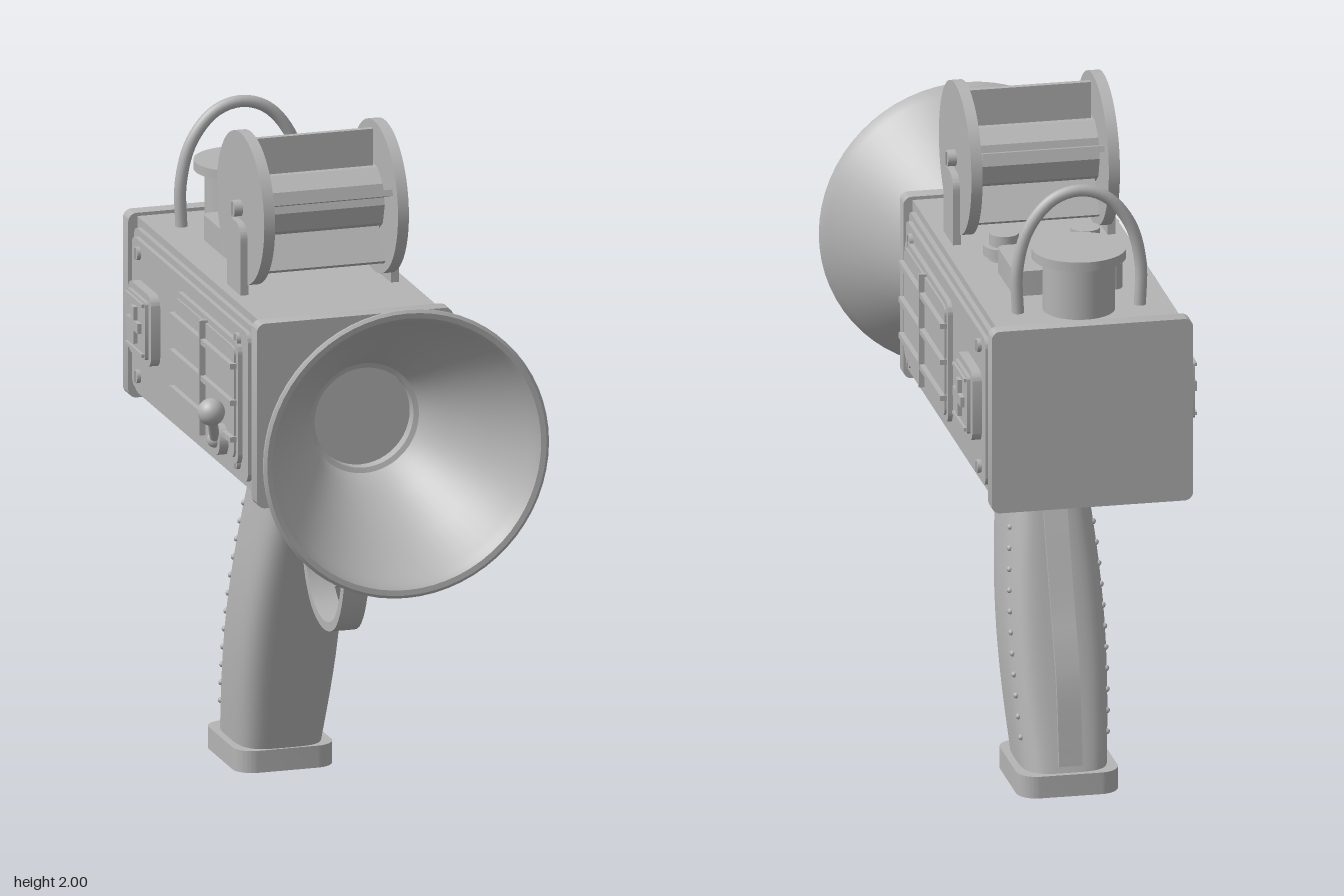
import * as THREE from 'three';
import { toCreasedNormals } from 'three/addons/utils/BufferGeometryUtils.js';

const grey = new THREE.MeshStandardMaterial({ color: 0xb4b4b4 });
grey.name = 'plain grey';

export function createModel() {
  const model = new THREE.Group();
  model.name = 'hornGadget';

  const add = (name, geo, x = 0, y = 0, z = 0) => {
    const m = new THREE.Mesh(geo, grey);
    m.name = name;
    m.position.set(x, y, z);
    model.add(m);
    return m;
  };
  const box = (w, h, d) => new THREE.BoxGeometry(w, h, d);
  const cyl = (r, h, n = 32) => new THREE.CylinderGeometry(r, r, h, n);
  const cylX = (r, h, n = 24) => cyl(r, h, n).rotateZ(Math.PI / 2);
  const extrude = (shape, depth) => toCreasedNormals(
    new THREE.ExtrudeGeometry(shape, { depth, bevelEnabled: false, curveSegments: 8 }).translate(0, 0, -depth / 2), 0.6);

  // Rounded rectangle plate, thickness along z
  const plate = (w, h, depth, r) => {
    const s = new THREE.Shape(), a = w / 2, b = h / 2, q = Math.PI / 2;
    s.absarc(a - r, b - r, r, 0, q);
    s.absarc(r - a, b - r, r, q, 2 * q);
    s.absarc(r - a, r - b, r, 2 * q, 3 * q);
    s.absarc(a - r, r - b, r, 3 * q, 4 * q);
    return extrude(s, depth);
  };
  const sidePlate = (w, h, t, r) => plate(w, h, t, r).rotateY(Math.PI / 2);
  const flatPlate = (w, d, t, r) => plate(w, d, t, r).rotateX(-Math.PI / 2);

  // Flat strap following [z, y] points, width along x
  const strap = (pts, thick, width) => {
    const c = new THREE.SplineCurve(pts.map(p => new THREE.Vector2(...p)));
    const a = [], b = [];
    for (let i = 0; i <= 40; i++) {
      const p = c.getPoint(i / 40), t = c.getTangent(i / 40);
      const n = new THREE.Vector2(-t.y, t.x).multiplyScalar(thick / 2);
      a.push(p.clone().add(n));
      b.unshift(p.clone().sub(n));
    }
    return extrude(new THREE.Shape([...a, ...b]), width).rotateY(-Math.PI / 2);
  };

  // Housing and end plates
  add('housing', box(0.54, 0.53, 1.2), 0, 1.265, -0.245);
  add('frontPlate', plate(0.595, 0.555, 0.05, 0.025), 0, 1.2625, 0.365);
  add('rearPlate', plate(0.595, 0.555, 0.05, 0.025), 0, 1.2625, -0.855);

  // Side panels, grilles, screws and cross buttons
  for (const s of [1, -1]) {
    add('sidePanel', sidePlate(1.14, 0.49, 0.02, 0.03), s * 0.275, 1.262, -0.245);
    add('sidePanelInset', sidePlate(1.1, 0.45, 0.02, 0.03), s * 0.288, 1.262, -0.245);
    add('grilleFrame', sidePlate(0.6, 0.37, 0.02, 0.035), s * 0.302, 1.262, -0.045);
    add('grilleFace', sidePlate(0.56, 0.335, 0.02, 0.025), s * 0.308, 1.262, -0.045);
    for (const y of [1.155, 1.265, 1.375]) add('grilleBar', box(0.03, 0.016, 0.575), s * 0.318, y, -0.045);
    add('grillePost', box(0.034, 0.345, 0.012), s * 0.318, 1.265, -0.042);
    for (const z of [0.22, -0.725]) for (const y of [1.08, 1.45]) {
      add('screw', cylX(0.02, 0.02, 16), s * 0.3, y, z);
      add('screwSlot', box(0.006, 0.034, 0.006), s * 0.31, y, z);
    }
    add('buttonFrame', sidePlate(0.22, 0.215, 0.04, 0.035), s * 0.306, 1.265, -0.635);
    add('buttonFace', sidePlate(0.175, 0.175, 0.04, 0.01), s * 0.317, 1.265, -0.635);
    for (const d of [-1, 1]) add('buttonRail', box(0.02, 0.01, 0.16), s * 0.335, 1.265 + d * 0.075, -0.635);
    add('crossUpright', box(0.02, 0.11, 0.03), s * 0.339, 1.265, -0.635);
    add('crossBar', box(0.02, 0.03, 0.11), s * 0.339, 1.265, -0.635);
  }

  // Horn: outer wall, rolled rim and inner wall
  const hornProfile = [[0.165, 0.38], [0.172, 0.39], [0.192, 0.45], [0.197, 0.48], [0.215, 0.545], [0.24, 0.59],
    [0.33, 0.725], [0.415, 0.845], [0.433, 0.868], [0.433, 0.876], [0.424, 0.882], [0.408, 0.88], [0.396, 0.866], [0.385, 0.835],
    [0.31, 0.72], [0.22, 0.585], [0.185, 0.53], [0.165, 0.48], [0.15, 0.475], [0.15, 0.43]];
  add('horn', toCreasedNormals(new THREE.LatheGeometry(hornProfile.map(p => new THREE.Vector2(...p)), 64)
    .rotateX(Math.PI / 2), 0.7), 0, 1.257, 0);
  add('hornCollar', toCreasedNormals(new THREE.LatheGeometry(
    [[0.18, 0.442], [0.2, 0.442], [0.206, 0.45], [0.206, 0.468], [0.2, 0.476], [0.18, 0.476]].map(p => new THREE.Vector2(...p)), 48)
    .rotateX(Math.PI / 2), 0.5), 0, 1.257, 0);
  add('hornThroat', cyl(0.15, 0.05, 48).rotateX(Math.PI / 2), 0, 1.257, 0.415);

  // Paddle reel with flanges and supports
  const reelY = 1.775, reelZ = -0.01;
  add('reelCore', toCreasedNormals(cylX(0.1, 0.38, 10), 0.2), 0, reelY, reelZ);
  for (let i = 0; i < 5; i++) {
    const a = i * Math.PI * 2 / 5;
    add('reelPaddle', box(0.36, 0.13, 0.018).translate(0, 0.14, 0).rotateX(a), 0, reelY, reelZ);
  }
  const post = new THREE.Shape();
  post.moveTo(-0.066, 0);
  post.lineTo(0.066, 0);
  post.lineTo(0.066, 0.15);
  post.absarc(0.021, 0.165, 0.045, 0, Math.PI / 2);
  post.absarc(-0.021, 0.165, 0.045, Math.PI / 2, Math.PI);
  post.lineTo(-0.066, 0.15);
  for (const s of [1, -1]) {
    add('reelFlange', cylX(0.225, 0.033, 64), s * 0.203, reelY, reelZ);
    add('reelSupport', extrude(post, 0.024).rotateY(Math.PI / 2), s * 0.228, 1.53, reelZ);
    add('reelAxleCap', cylX(0.024, 0.03), s * 0.23, reelY, reelZ);
    add('reelAxleSlot', box(0.004, 0.04, 0.006), s * 0.246, reelY, reelZ);
  }

  // Top box, knobs, canister and carrying loop
  add('topBox', flatPlate(0.325, 0.24, 0.08, 0.025), 0, 1.565, -0.435);
  for (const s of [1, -1]) {
    add('knobBase', cyl(0.061, 0.03), s * 0.12, 1.56, -0.22);
    add('knobStem', cyl(0.045, 0.03), s * 0.12, 1.535, -0.22);
    add('knobTop', cyl(0.043, 0.04), s * 0.12, 1.59, -0.22);
  }
  add('canister', cyl(0.105, 0.17, 48), 0, 1.61, -0.693);
  add('canisterLid', cyl(0.137, 0.028, 48), 0, 1.702, -0.693);
  const loop = [[-0.18, 1.52], [-0.182, 1.66], [-0.15, 1.78], [-0.08, 1.865], [0, 1.89], [0.08, 1.865], [0.15, 1.78], [0.182, 1.66], [0.18, 1.52]];
  add('carryLoop', new THREE.TubeGeometry(new THREE.CatmullRomCurve3(
    loop.map(([x, y]) => new THREE.Vector3(x, y, -0.693))), 48, 0.018, 12));

  // Side crank with ball
  const crankFrom = new THREE.Vector3(-0.345, 1.13, 0.14), crankTo = new THREE.Vector3(-0.395, 1.25, 0.26);
  add('crankHub', cylX(0.045, 0.05), -0.32, 1.13, 0.14);
  add('crankArm', new THREE.TubeGeometry(new THREE.LineCurve3(crankFrom, crankTo), 1, 0.015, 12));
  add('crankElbow', new THREE.SphereGeometry(0.024, 16, 12), ...crankFrom.toArray());
  add('crankBall', new THREE.SphereGeometry(0.04, 24, 16), ...crankTo.toArray());

  // Trigger and guard
  add('triggerRail', box(0.08, 0.05, 0.35), 0, 0.975, 0.185);
  add('triggerGuard', strap([[0.365, 1.0], [0.395, 0.93], [0.402, 0.82], [0.375, 0.69], [0.31, 0.595], [0.21, 0.566],
    [0.11, 0.595], [0.045, 0.67], [0.02, 0.76], [0.01, 0.87]], 0.027, 0.075));
  add('trigger', strap([[0.3, 0.96], [0.26, 0.92], [0.24, 0.86], [0.242, 0.78], [0.285, 0.7]], 0.025, 0.05));

  // Grip: rounded cross-sections leaning backwards, swelling in the middle
  const frontZ = t => -0.255 + 0.25 * t;
  const backZ = t => -0.57 + 0.225 * t + 0.008 * Math.sin(Math.PI * t);
  const halfW = t => 0.128 - 0.012 * t + 0.026 * Math.sin(Math.PI * t);
  const grip = new THREE.CylinderGeometry(1, 1, 1, 48, 14);
  const gp = grip.attributes.position;
  const round = v => Math.sign(v) * Math.abs(v) ** 0.55;
  for (let i = 0; i < gp.count; i++) {
    const t = gp.getY(i) + 0.5, f = frontZ(t), b = backZ(t);
    gp.setXYZ(i, round(gp.getX(i)) * halfW(t), 0.06 + t * 0.805, (f + b) / 2 + round(gp.getZ(i)) * (f - b) / 2);
  }
  add('grip', toCreasedNormals(grip, 0.7));
  add('gripNeck', flatPlate(0.22, 0.3, 0.16, 0.04), 0, 0.93, -0.16);
  add('gripBase', flatPlate(0.3, 0.34, 0.066, 0.06), 0, 0.033, -0.415);

  // Studs and rear strap on the grip
  const stud = new THREE.SphereGeometry(0.009, 8, 6);
  for (let i = 0; i < 12; i++) {
    const t = 0.12 + 0.8 * i / 11, f = frontZ(t), b = backZ(t), z = -0.515 + 0.235 * t;
    const k = Math.min(1, Math.abs((z - (f + b) / 2) / ((f - b) / 2)));
    const x = halfW(t) * Math.pow(1 - Math.pow(k, 2 / 0.55), 0.275);
    for (const s of [1, -1]) add('gripStud', stud, s * x, 0.06 + t * 0.805, z);
  }
  add('gripRearStrap', strap([[-0.352, 0.84], [-0.405, 0.7], [-0.465, 0.54], [-0.515, 0.42], [-0.55, 0.3], [-0.578, 0.09]], 0.012, 0.07));

  return model;
}
